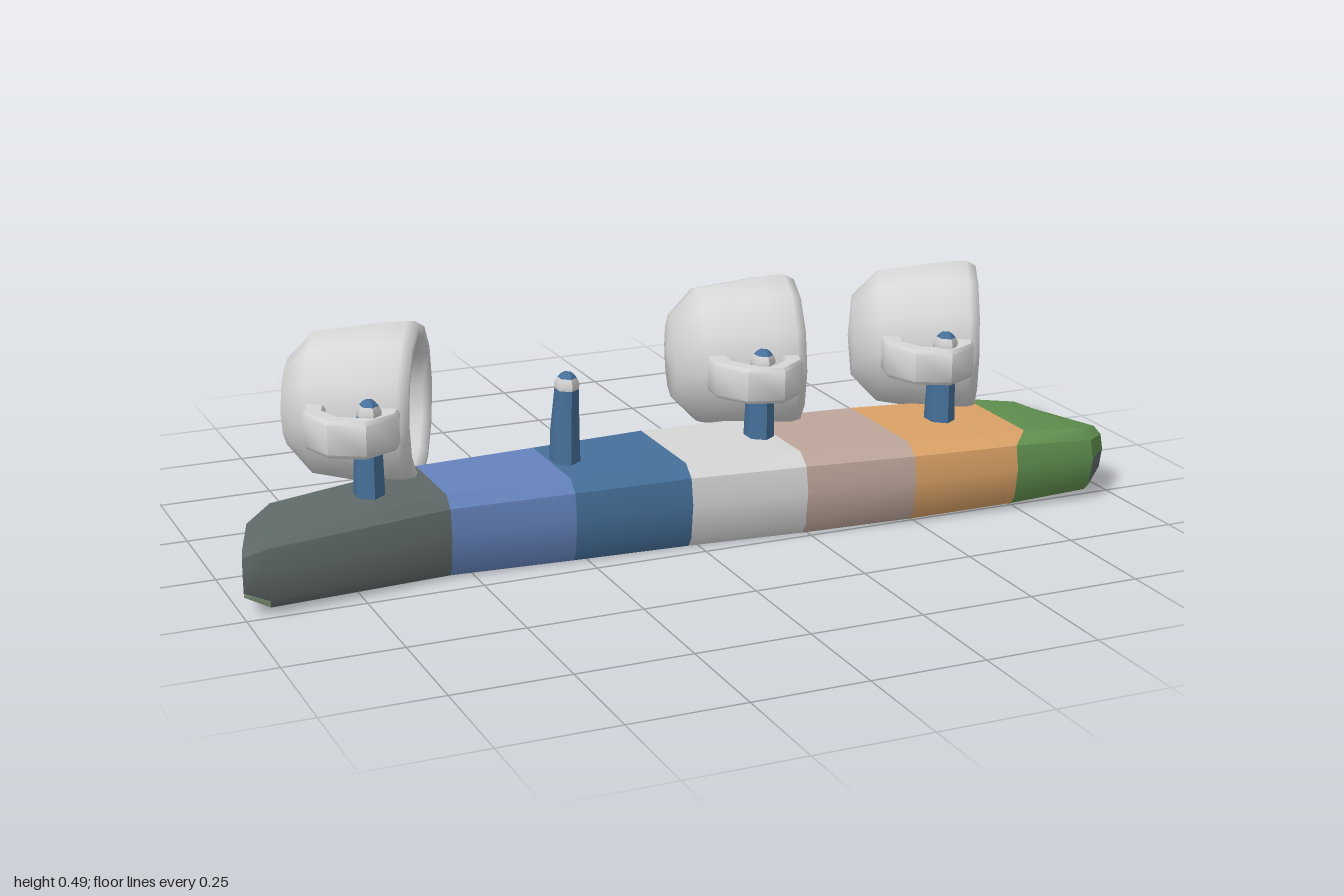
import * as THREE from 'three';
import { toCreasedNormals } from 'three/addons/utils/BufferGeometryUtils.js';

const paint = (name, color) => {
  const m = new THREE.MeshStandardMaterial({ color });
  m.name = name;
  return m;
};

const colours = {
  slate: paint('slate', 0x5f6967),
  periwinkle: paint('periwinkle', 0x6583bd),
  blue: paint('blue', 0x46709a),
  white: paint('white', 0xd6d6d6),
  taupe: paint('taupe', 0xbea69b),
  orange: paint('orange', 0xdba267),
  green: paint('green', 0x629150),
  paleGreen: paint('pale green', 0x9fb798),
};
const { slate, periwinkle, blue, white, taupe, orange, green, paleGreen } = colours;

// Board cross-section: u runs back (-1) to front (1), v bottom (0) to top (1)
const SECTION = [[1, 0.55], [0.94, 0.86], [0.76, 1], [-0.76, 1], [-0.93, 0.86],
  [-1, 0.45], [-0.94, 0.12], [-0.85, 0], [0.85, 0], [0.94, 0.12]];

// Stations along the board: x at back, x at front, z back, z front, y bottom, y top
const STATIONS = [
  [-0.94, -1.0, 0.05, 0.235, 0.04, 0.14],
  [-0.88, -0.95, 0.01, 0.25, 0.015, 0.165],
  [-0.55, -0.55, -0.065, 0.2, 0.005, 0.178],
  [-0.28, -0.28, -0.08, 0.215, 0.002, 0.18],
  [-0.02, -0.02, -0.095, 0.228, 0, 0.182],
  [0.24, 0.24, -0.088, 0.253, 0, 0.181],
  [0.49, 0.49, -0.076, 0.28, 0.005, 0.178],
  [0.74, 0.74, -0.045, 0.29, 0.01, 0.172],
  [0.88, 0.93, -0.015, 0.296, 0.02, 0.16],
  [0.925, 1.0, 0.01, 0.225, 0.035, 0.14],
];
const BANDS = [slate, slate, periwinkle, blue, white, taupe, orange, green, green];

function makeBoard() {
  const rings = STATIONS.map(([xb, xf, zb, zf, y0, y1], i) => SECTION.map(([u, v]) => {
    const t = (u + 1) / 2;
    const lean = i === 7 && v > 0.9 ? 0.035 : 0; // green band starts further out on top
    return [xb + (xf - xb) * t + lean, y0 + (y1 - y0) * v, zb + (zf - zb) * t];
  }));
  const materials = Object.values(colours);
  const faces = materials.map(() => []);
  const add = (m, ...pts) => pts.forEach((p) => faces[materials.indexOf(m)].push(...p));

  const n = SECTION.length;
  const last = rings.length - 1;
  for (let i = 0; i < last; i++) {
    const atEnd = i === 0 || i === last - 1;
    for (let k = 0; k < n; k++) {
      const k1 = (k + 1) % n;
      let m = BANDS[i];
      if (k === 7 || (atEnd && (k === 6 || k === 8))) m = paleGreen;
      else if (i === last - 1 && k === 9) m = slate;
      const [a, b, c, d] = [rings[i][k], rings[i + 1][k], rings[i + 1][k1], rings[i][k1]];
      add(m, a, b, c, a, c, d);
    }
  }
  // End caps
  for (let k = 1; k < n - 1; k++) {
    add(slate, rings[0][0], rings[0][k], rings[0][k + 1]);
    add(k < 3 ? green : slate, rings[last][0], rings[last][k + 1], rings[last][k]);
  }

  const geometry = new THREE.BufferGeometry();
  geometry.setAttribute('position', new THREE.Float32BufferAttribute(faces.flat(), 3));
  let start = 0;
  faces.forEach((f, i) => {
    geometry.addGroup(start, f.length / 3, i);
    start += f.length / 3;
  });
  const board = new THREE.Mesh(toCreasedNormals(geometry, 0.6), materials);
  board.name = 'board';
  return board;
}

const lathe = (points, sides) =>
  new THREE.LatheGeometry(points.map(([r, y]) => new THREE.Vector2(r, y)), sides);

// Peg: six-sided, wider front to back, with its tip bent forward
function makePeg(x, z) {
  const peg = new THREE.Group();
  peg.name = 'peg';
  const part = (name, points, material) => {
    const g = lathe(points, 6);
    const p = g.attributes.position;
    for (let i = 0; i < p.count; i++) {
      const bend = 0.022 * Math.max(0, (p.getY(i) - 0.22) / 0.16);
      p.setZ(i, p.getZ(i) * 1.25 + bend);
    }
    g.computeVertexNormals();
    const mesh = new THREE.Mesh(g, material);
    mesh.name = name;
    peg.add(mesh);
  };
  part('pegShaft', [[0.034, 0.12], [0.03, 0.25], [0.025, 0.345]], blue);
  part('pegKnob', [[0.025, 0.345], [0.026, 0.358], [0.02, 0.371]], white);
  part('pegTip', [[0.02, 0.371], [0.012, 0.38], [0, 0.382]], blue);
  peg.position.set(x, 0, z);
  return peg;
}

// Cup: lies on its side with the mouth towards local +x and the handle towards +z
function makeCup(x, z, turn) {
  const cup = new THREE.Group();
  cup.name = 'cup';

  const bodyGeometry = lathe([[0, -0.292], [0.095, -0.283], [0.155, -0.225], [0.176, -0.08],
    [0.18, -0.025], [0.168, -0.003], [0.15, -0.003], [0.138, -0.02], [0.128, -0.1],
    [0.08, -0.19], [0, -0.225]], 12).rotateZ(-Math.PI / 2);
  const body = new THREE.Mesh(bodyGeometry, white);
  body.name = 'cupBody';

  const loop = [[-0.22, 0.13], [-0.208, 0.2], [-0.15, 0.258], [-0.075, 0.262], [-0.025, 0.2],
    [-0.025, 0.15], [-0.055, 0.15], [-0.058, 0.2], [-0.085, 0.235], [-0.14, 0.23],
    [-0.178, 0.19], [-0.185, 0.13]].map(([a, r]) => new THREE.Vector2(a, r));
  const handleGeometry = new THREE.ExtrudeGeometry(new THREE.Shape(loop), {
    depth: 0.064, bevelEnabled: true, bevelSize: 0.006, bevelThickness: 0.008, bevelSegments: 1,
  }).translate(0, 0, -0.032).rotateX(Math.PI / 2);
  const handle = new THREE.Mesh(toCreasedNormals(handleGeometry, 0.9), white);
  handle.name = 'cupHandle';

  cup.add(body, handle);
  cup.position.set(x, 0.31, z);
  cup.rotation.y = -THREE.MathUtils.degToRad(turn);
  return cup;
}

export function createModel() {
  const model = new THREE.Group();
  model.name = 'cupRack';
  model.add(makeBoard());
  for (const [x, z] of [[-0.69, 0.085], [-0.247, 0.06], [0.207, 0.07], [0.64, 0.105]]) {
    model.add(makePeg(x, z));
  }
  for (const [x, z, turn] of [[-0.527, -0.05, 27], [0.373, -0.095, 15], [0.81, -0.04, 25]]) {
    model.add(makeCup(x, z, turn));
  }
  return model;
}
